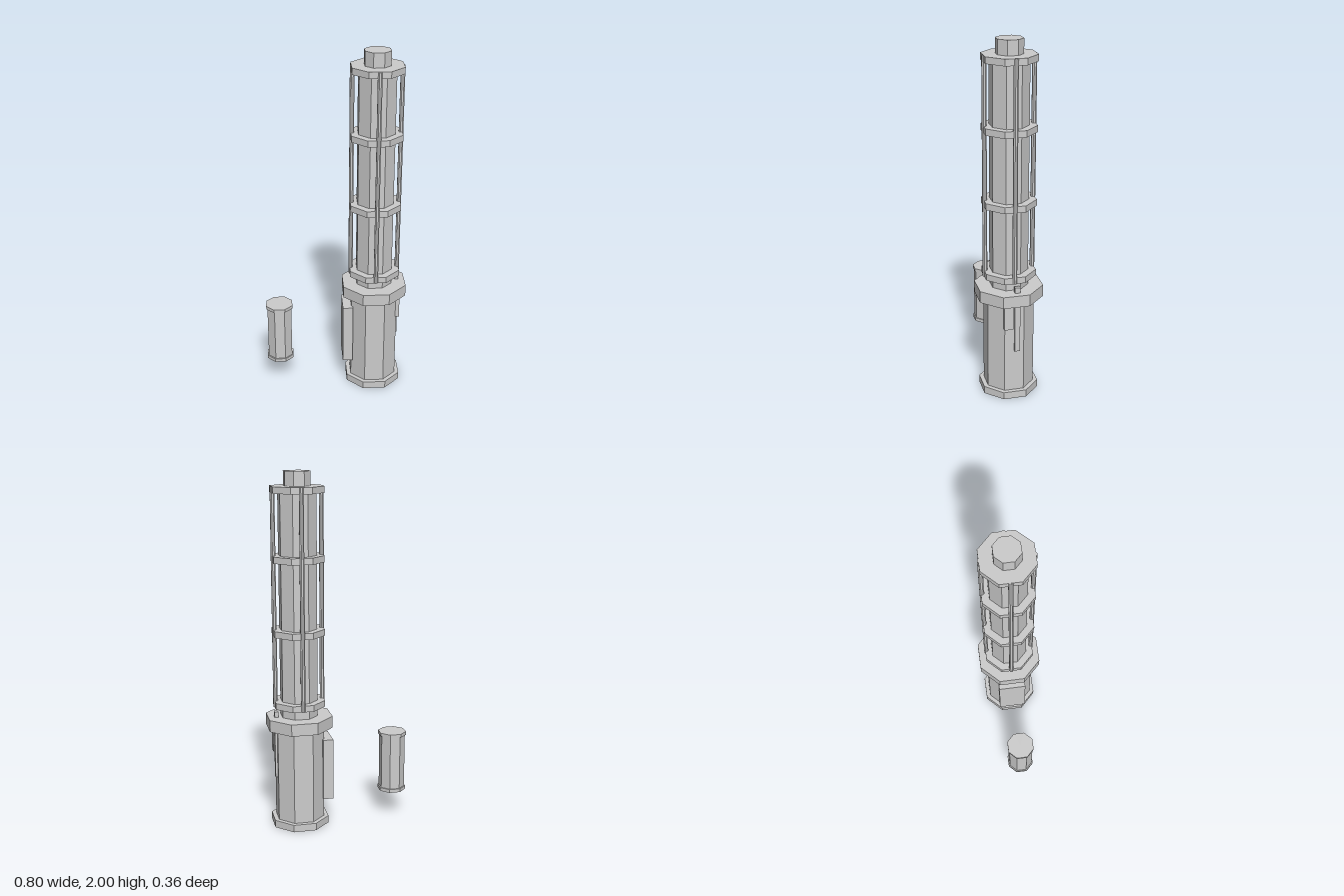
import * as THREE from 'three';

const material = new THREE.MeshStandardMaterial({ color: 0xcccccc, flatShading: true });

function add(parent, name, geometry, x, y, z) {
  const mesh = new THREE.Mesh(geometry, material);
  mesh.name = name;
  mesh.position.set(x, y, z);
  parent.add(mesh);
  return mesh;
}

// Upright octagonal prism with flats facing the axes; r is the distance to a flat
function octagon(parent, name, r, y0, y1, x = 0, z = 0) {
  const R = r / Math.cos(Math.PI / 8);
  const geometry = new THREE.CylinderGeometry(R, R, y1 - y0, 8).rotateY(Math.PI / 8);
  return add(parent, name, geometry, x, (y0 + y1) / 2, z);
}

// Box given by its limits on each axis
function block(parent, name, [x0, x1], [y0, y1], [z0, z1]) {
  const geometry = new THREE.BoxGeometry(x1 - x0, y1 - y0, z1 - z0);
  return add(parent, name, geometry, (x0 + x1) / 2, (y0 + y1) / 2, (z0 + z1) / 2);
}

export function createModel() {
  const model = new THREE.Group();

  // Main column: handle below, caged barrel above
  const column = new THREE.Group();
  column.name = 'column';
  column.position.x = 0.2225;
  model.add(column);

  octagon(column, 'basePlate', 0.155, 0, 0.042);
  octagon(column, 'handle', 0.131, 0.042, 0.578);
  octagon(column, 'collar', 0.178, 0.578, 0.645);
  octagon(column, 'barrel', 0.099, 0.645, 1.89);
  octagon(column, 'tip', 0.069, 1.92, 2);

  // Rings around the barrel
  for (const y of [0.7, 1.108, 1.515, 1.885]) octagon(column, 'ring', 0.139, y, y + 0.036);

  // Four rods joining the rings
  for (let i = 0; i < 4; i++) {
    const a = (i * Math.PI) / 2;
    octagon(column, 'rod', 0.012, 0.7, 1.918, 0.133 * Math.cos(a), 0.133 * Math.sin(a));
  }

  // Fittings on the sides of the handle
  block(model, 'sidePanel', [0.042, 0.1], [0.152, 0.507], [-0.08, 0.08]);
  block(model, 'switchBlock', [0.33, 0.37], [0.43, 0.6], [0.01, 0.06]);
  block(model, 'lever', [0.345, 0.366], [0.29, 0.677], [-0.03, 0]);

  // Separate canister with a cap at each end
  const canister = new THREE.Group();
  canister.name = 'canister';
  canister.position.x = -0.325;
  model.add(canister);
  octagon(canister, 'canisterBody', 0.069, 0.17, 0.488);
  for (const y of [0.152, 0.487]) octagon(canister, 'canisterCap', 0.0755, y, y + 0.02);

  return model;
}
